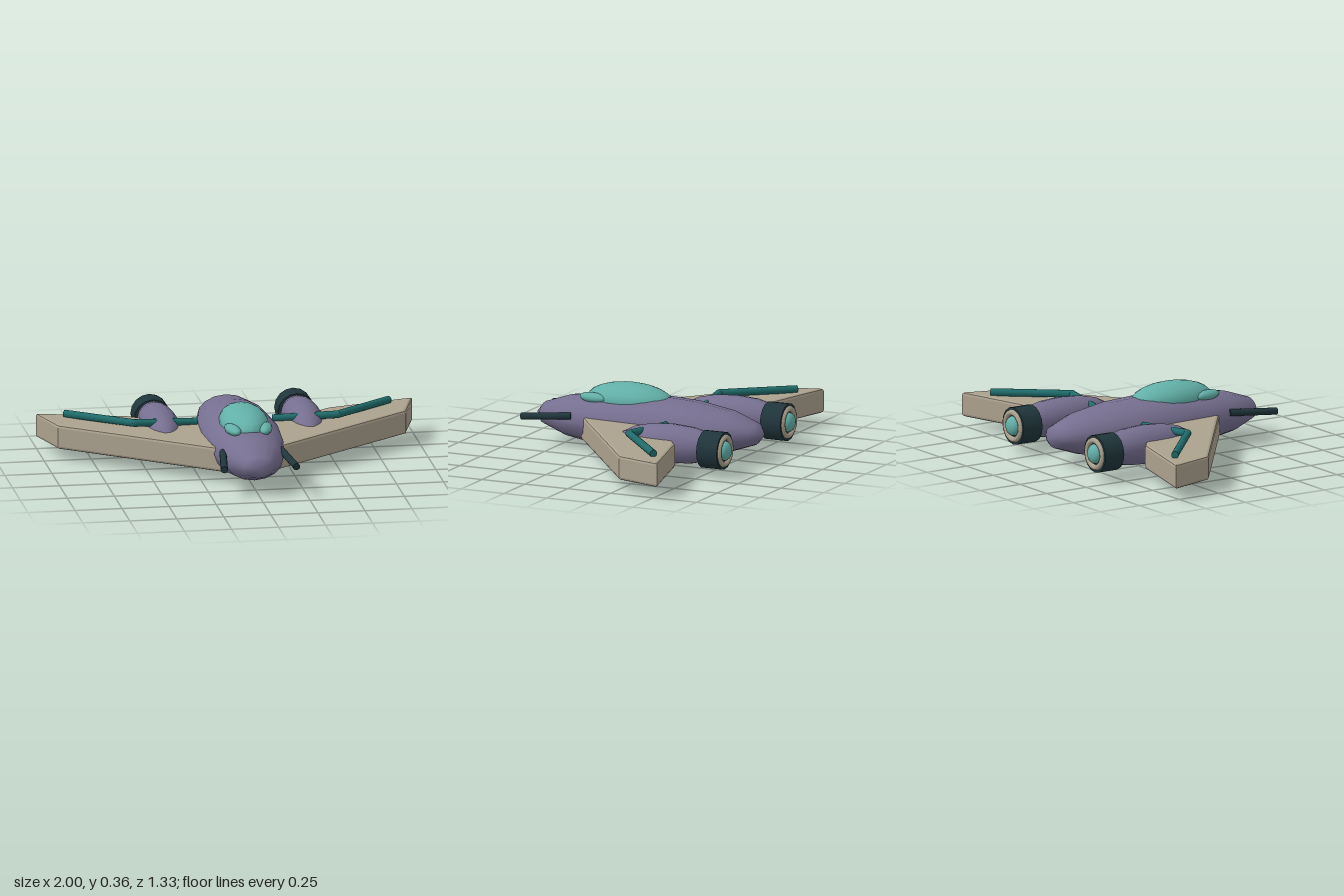
import * as THREE from 'three';

const mat = (name, color) => {
  const m = new THREE.MeshStandardMaterial({ color });
  m.name = name;
  return m;
};

export function createModel() {
  const hull = mat('hull purple', 0x766f90);
  const tan = mat('wing tan', 0xaba18e);
  const glass = mat('glass teal', 0x62b0a8);
  const pipe = mat('pipe teal', 0x1f6c6b);
  const dark = mat('dark metal', 0x20363c);

  const model = new THREE.Group();
  model.name = 'spacecraft';

  const add = (name, geometry, material, x = 0, y = 0, z = 0) => {
    const mesh = new THREE.Mesh(geometry, material);
    mesh.name = name;
    mesh.position.set(x, y, z);
    model.add(mesh);
    return mesh;
  };

  // Ellipsoid with its poles on the z axis
  const ellipsoid = (rx, ry, rz, around = 16, along = 8) =>
    new THREE.SphereGeometry(1, around, along).rotateX(Math.PI / 2).scale(rx, ry, rz);

  // Straight rod between two points
  const rod = (name, a, b, r, material) => {
    const from = new THREE.Vector3(...a), to = new THREE.Vector3(...b);
    const dir = to.clone().sub(from);
    const mesh = add(name, new THREE.CylinderGeometry(r, r, dir.length(), 12), material);
    mesh.position.copy(from).add(to).multiplyScalar(0.5);
    mesh.quaternion.setFromUnitVectors(new THREE.Vector3(0, 1, 0), dir.normalize());
  };

  // Body and canopy
  add('fuselage', ellipsoid(0.215, 0.152, 0.663), hull, 0, 0.157, 0);
  add('canopy', new THREE.SphereGeometry(1, 20, 12).scale(0.128, 0.093, 0.245), glass, 0, 0.27, 0.122);

  // Swept wing, bevelled, drawn in x and z as one mirrored outline
  const half = [[0.1, 0.37], [0.925, -0.262], [1, -0.521], [0.53, -0.397],
    [0.48, -0.36], [0.26, -0.23], [0.15, -0.16]];
  const outline = [...half, ...half.map(([x, z]) => [-x, z]).reverse()];
  const bevel = 0.015, top = 0.192, bottom = 0.062;
  const wing = new THREE.ExtrudeGeometry(
    new THREE.Shape(outline.map(([x, z]) => new THREE.Vector2(x, z))), {
      depth: top - bottom - 2 * bevel, bevelThickness: bevel, bevelSize: bevel,
      bevelOffset: -bevel, bevelSegments: 2,
    }).rotateX(Math.PI / 2);
  add('wings', wing, tan, 0, top - bevel, 0);

  for (const s of [1, -1]) {
    const side = s > 0 ? 'left' : 'right';

    // Lower canopy bulge
    const bulge = add(side + 'CanopyBulge', ellipsoid(0.036, 0.028, 0.085, 12, 8), glass, s * 0.087, 0.282, 0.295);
    bulge.rotation.y = -s * 0.2;

    // Engine pod, collar, nozzle ring and glow
    const ex = s * 0.382, ey = 0.144;
    add(side + 'EnginePod', ellipsoid(0.105, 0.105, 0.305), hull, ex, 0.155, -0.308);
    add(side + 'EngineCollar', new THREE.CylinderGeometry(0.1, 0.1, 0.119, 16).rotateX(Math.PI / 2), dark, ex, ey, -0.556);
    add(side + 'NozzleRing', new THREE.TorusGeometry(0.072, 0.017, 8, 20), tan, ex, ey, -0.613);
    add(side + 'EngineGlow', ellipsoid(0.053, 0.053, 0.036, 16, 10), glass, ex, ey, -0.614);

    // Coolant pipe running through the pod and out along the wing
    const elbow = [s * 0.54, 0.222, -0.135];
    rod(side + 'InnerPipe', [s * 0.2, 0.203, -0.183], elbow, 0.02, pipe);
    rod(side + 'OuterPipe', elbow, [s * 0.86, 0.208, -0.432], 0.02, pipe);
    add(side + 'PipeElbow', new THREE.SphereGeometry(0.02, 12, 8), pipe, ...elbow);

    // Nose cannon
    rod(side + 'Cannon', [s * 0.155, 0.187, 0.39], [s * 0.192, 0.167, 0.664], 0.019, dark);
  }
  return model;
}
